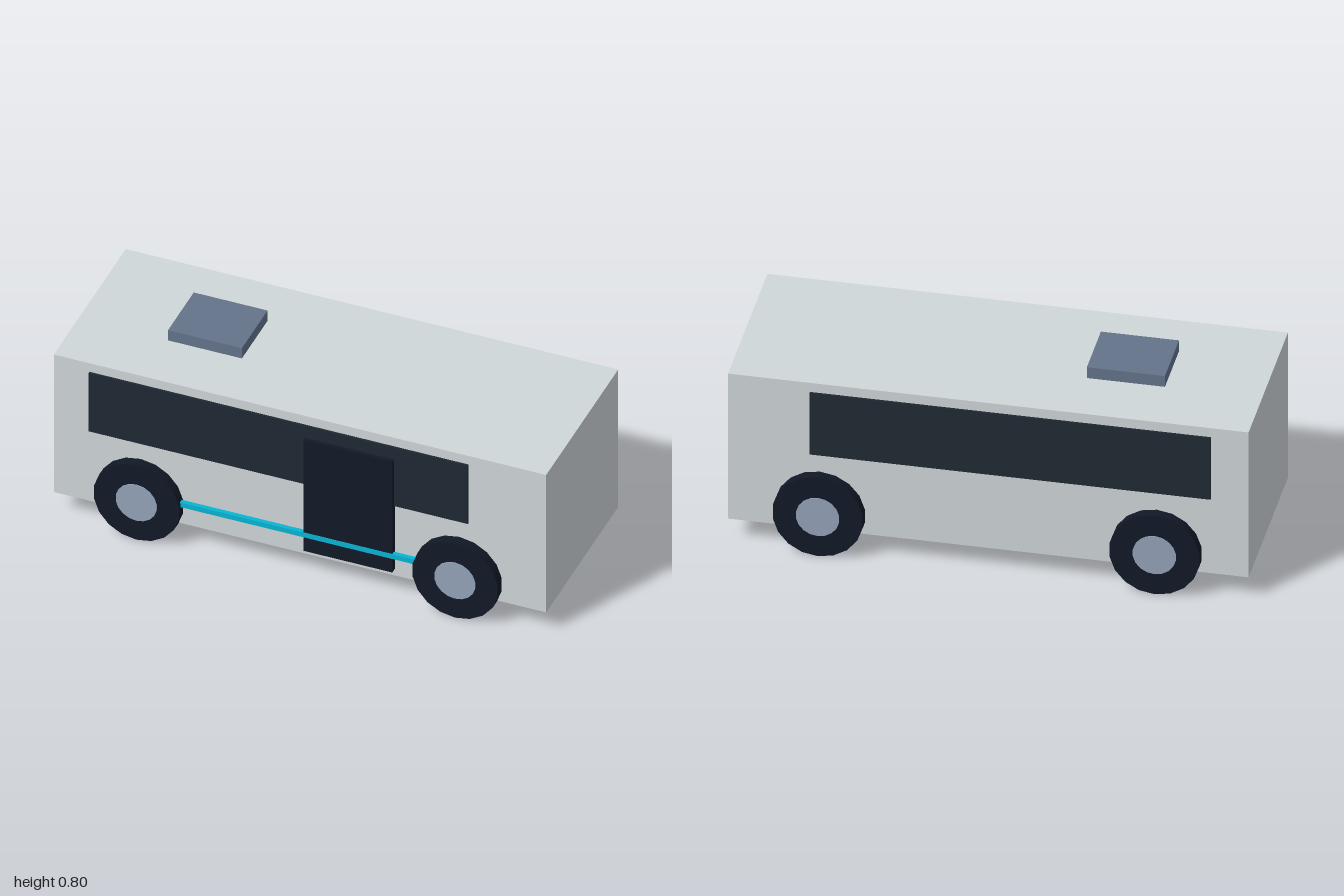
import * as THREE from 'three';

const paint = (color) => new THREE.MeshStandardMaterial({ color });
const MATERIALS = {
  body: paint(0xd0d7d9),
  glass: paint(0x1f2933),
  door: paint(0x111827),
  trim: paint(0x06b6d4),
  tyre: paint(0x111827),
  hub: paint(0x94a3b8),
  roofUnit: paint(0x64748b),
};

// Box given by its minimum and maximum corners
function box(name, material, [x0, y0, z0], [x1, y1, z1]) {
  const mesh = new THREE.Mesh(new THREE.BoxGeometry(x1 - x0, y1 - y0, z1 - z0), material);
  mesh.name = name;
  mesh.position.set((x0 + x1) / 2, (y0 + y1) / 2, (z0 + z1) / 2);
  return mesh;
}

// Disc with its axis along z
function disc(name, material, radius, width) {
  const geometry = new THREE.CylinderGeometry(radius, radius, width, 18).rotateX(Math.PI / 2);
  const mesh = new THREE.Mesh(geometry, material);
  mesh.name = name;
  return mesh;
}

// Tyre with a hub standing slightly proud of both faces
function createWheel(name, x, z) {
  const wheel = new THREE.Group();
  wheel.name = name;
  wheel.add(disc('tyre', MATERIALS.tyre, 0.175, 0.065), disc('hub', MATERIALS.hub, 0.084, 0.071));
  wheel.position.set(x, 0.175, z);
  return wheel;
}

export function createModel() {
  const bus = new THREE.Group();
  bus.name = 'bus';

  // Body shell and the roof unit hovering just above it
  bus.add(
    box('body', MATERIALS.body, [-1, 0.095, -0.358], [1, 0.74, 0.358]),
    box('roofUnit', MATERIALS.roofUnit, [-0.63, 0.752, -0.128], [-0.33, 0.8, 0.128]),
  );

  // Long window band on both sides
  bus.add(
    box('frontWindow', MATERIALS.glass, [-0.855, 0.427, 0.35], [0.685, 0.7, 0.367]),
    box('backWindow', MATERIALS.glass, [-0.855, 0.427, -0.367], [0.685, 0.7, -0.35]),
  );

  // Door and trim strip on the front side only
  bus.add(
    box('door', MATERIALS.door, [0.025, 0.125, 0.35], [0.385, 0.645, 0.382]),
    box('trimStrip', MATERIALS.trim, [-0.52, 0.19, 0.366], [0.52, 0.212, 0.384]),
  );

  // Four wheels
  for (const sx of [-1, 1]) {
    for (const sz of [-1, 1]) {
      const name = (sz > 0 ? 'front' : 'back') + (sx > 0 ? 'Left' : 'Right') + 'Wheel';
      bus.add(createWheel(name, sx * 0.647, sz * 0.3675));
    }
  }
  return bus;
}
